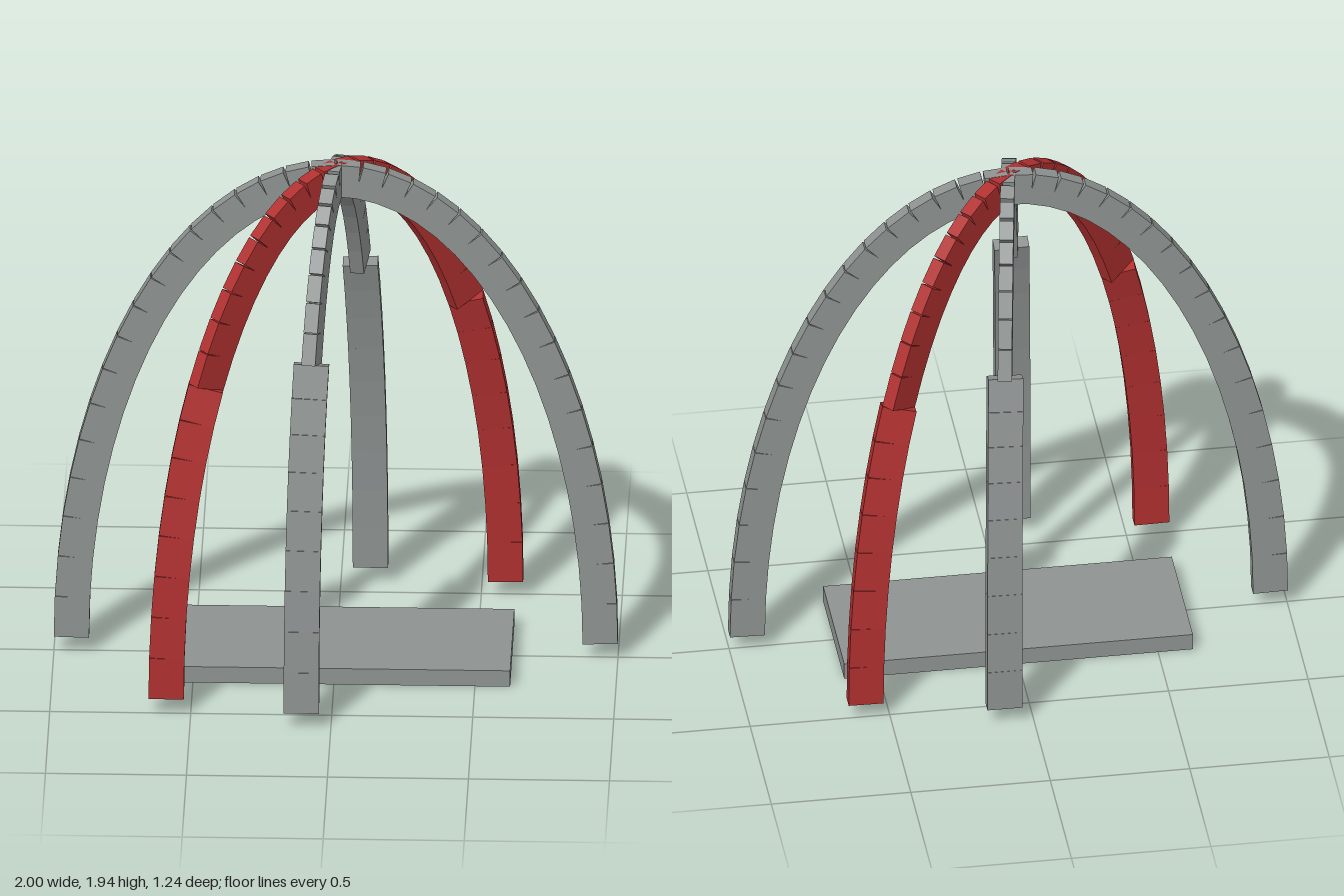
import * as THREE from 'three';

const BASE_TOP = 0.0625;
const RISE = 1.8125;      // height of the arch centreline above the base
const SEGMENTS = 36;      // straight blocks per arch
const DEPTH = 0.125;      // block size across the curve
const WIDTH = 0.05;       // block thickness

// One arch of straight blocks along a half ellipse, turned by `degrees` around y.
function makeArch(name, radius, degrees, material) {
  const arch = new THREE.Group();
  arch.name = name;
  const turn = THREE.MathUtils.degToRad(degrees);
  const pointAt = (i) => {
    const t = (i / SEGMENTS) * Math.PI;
    const r = radius * Math.cos(t);
    return new THREE.Vector3(r * Math.cos(turn), BASE_TOP + RISE * Math.sin(t), -r * Math.sin(turn));
  };
  const flatSide = new THREE.Vector3(Math.sin(turn), 0, Math.cos(turn));
  const xAxis = new THREE.Vector3(1, 0, 0);

  for (let i = 0; i < SEGMENTS; i++) {
    const a = pointAt(i), b = pointAt(i + 1);
    const along = b.clone().sub(a);
    const length = along.length();
    along.normalize();
    // Steep leg blocks are squared to the x axis; crown blocks follow the arch plane.
    const steep = Math.abs(along.y) > 0.95;
    const side = steep ? xAxis.clone().cross(along).normalize() : flatSide.clone();
    const across = along.clone().cross(side).normalize();

    const block = new THREE.Mesh(new THREE.BoxGeometry(DEPTH, length, WIDTH), material);
    block.name = steep ? 'legBlock' : 'crownBlock';
    block.quaternion.setFromRotationMatrix(new THREE.Matrix4().makeBasis(across, along, side));
    block.position.copy(a).add(b).multiplyScalar(0.5);
    arch.add(block);
  }
  return arch;
}

export function createModel() {
  const model = new THREE.Group();
  model.name = 'archedFrame';
  const grey = new THREE.MeshStandardMaterial({ color: 0x8e9392 });
  grey.name = 'grey';
  const red = new THREE.MeshStandardMaterial({ color: 0xb03030 });
  red.name = 'red';

  // Flat base slab
  const base = new THREE.Mesh(new THREE.BoxGeometry(1.25, BASE_TOP, 0.5), grey);
  base.name = 'base';
  base.position.y = BASE_TOP / 2;
  model.add(base);

  // Three arches crossing at the crown
  model.add(
    makeArch('wideArch', 0.9375, 0, grey),
    makeArch('diagonalArch', 0.766, 40, red),
    makeArch('narrowArch', 0.603, 80, grey)
  );
  return model;
}
